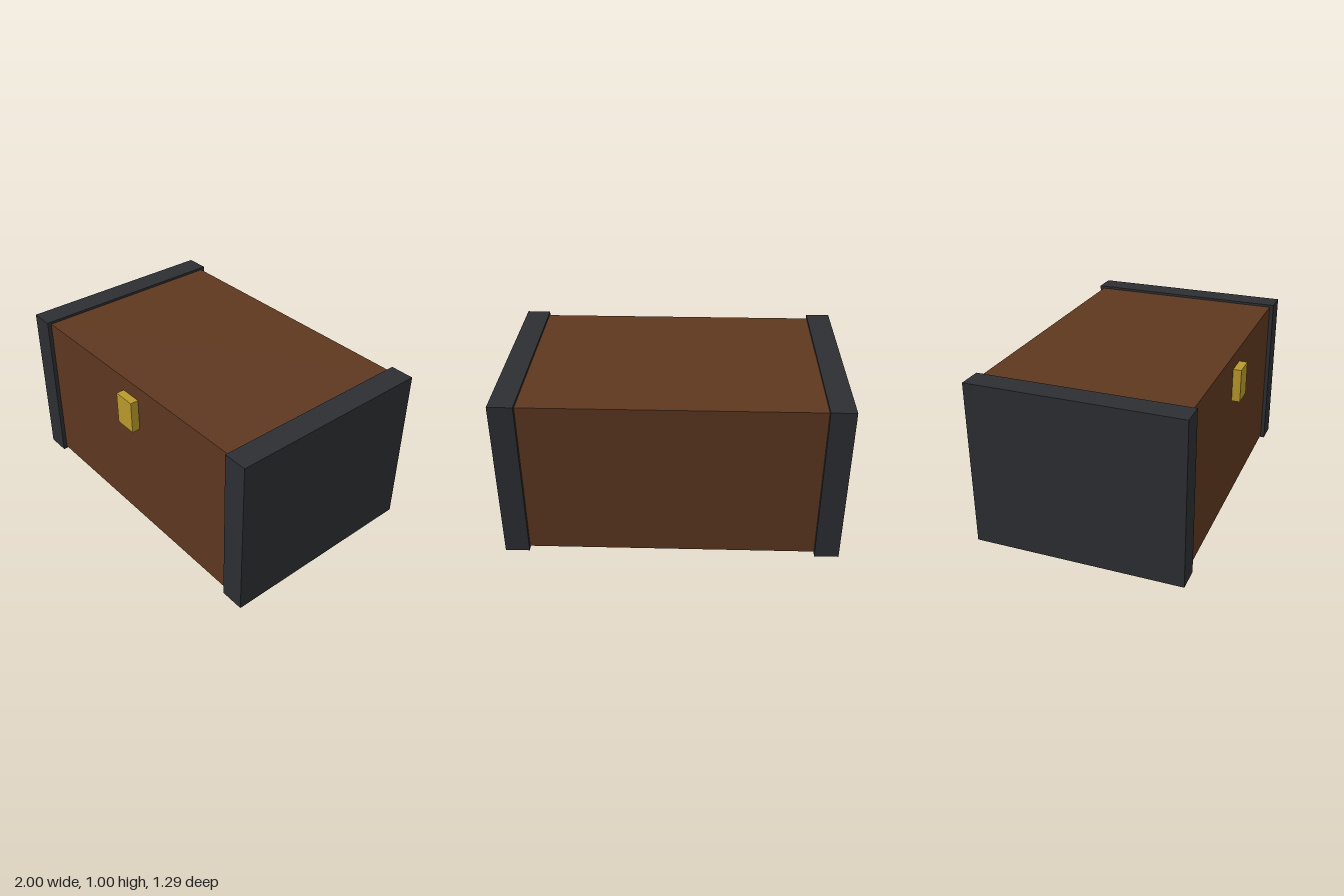
import * as THREE from 'three';

export function createModel() {
  const chest = new THREE.Group();
  chest.name = 'chest';

  const wood = new THREE.MeshStandardMaterial({ color: 0x5e3820 });
  const iron = new THREE.MeshStandardMaterial({ color: 0x2d2e32 });
  const brass = new THREE.MeshStandardMaterial({ color: 0xb99a2b });

  // Adds a box given its size and centre
  function addBox(name, material, size, centre) {
    const mesh = new THREE.Mesh(new THREE.BoxGeometry(...size), material);
    mesh.name = name;
    mesh.position.set(...centre);
    chest.add(mesh);
  }

  // Wooden body between the end bands
  addBox('body', wood, [1.72, 0.97, 1.215], [0, 0.5, -0.0125]);

  // Iron bands capping both ends, slightly proud of the body
  for (const side of [-1, 1]) {
    addBox(side > 0 ? 'leftBand' : 'rightBand', iron, [0.145, 1, 1.265], [side * 0.9275, 0.5, -0.0125]);
  }

  // Brass latch on the front, sunk a little into the wood
  addBox('latch', brass, [0.14, 0.202, 0.07], [0, 0.794, 0.61]);

  return chest;
}
